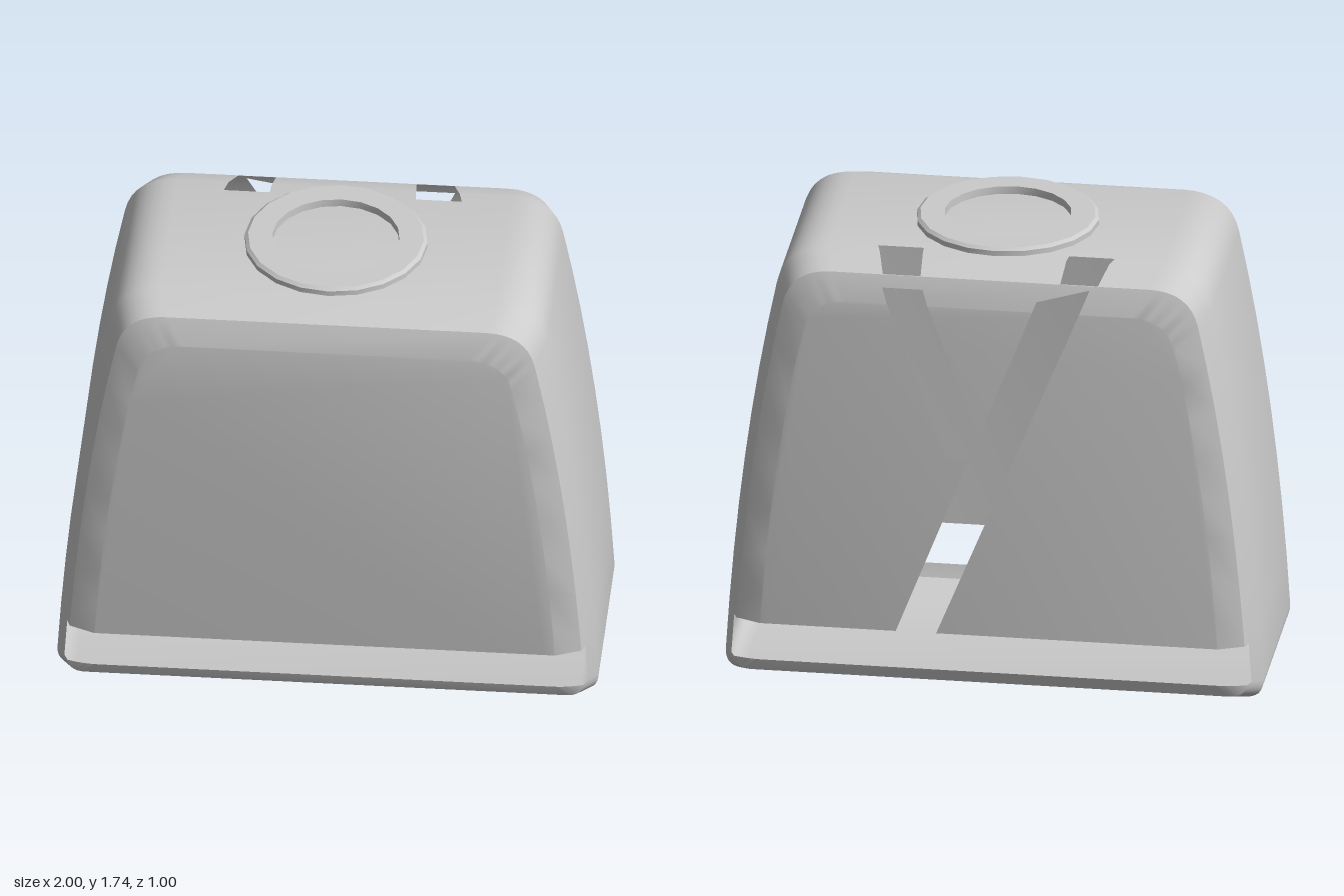
import * as THREE from 'three';
import { toCreasedNormals } from 'three/addons/utils/BufferGeometryUtils.js';

const HEIGHT = 1.71;
const material = new THREE.MeshStandardMaterial({ color: 0xcccccc, side: THREE.DoubleSide });

// Tapered silhouette with rounded shoulders, counter-clockwise from bottom centre
function outline() {
  const half = new THREE.Path();
  half.moveTo(0.93, 0);
  half.quadraticCurveTo(1, 0, 1, 0.07);
  half.quadraticCurveTo(0.951, 0.9, 0.81, 1.56);
  half.quadraticCurveTo(0.778, HEIGHT, 0.62, HEIGHT);
  const right = half.getPoints(8);
  const left = right.map((p) => new THREE.Vector2(-p.x, p.y)).reverse();
  return [...right, ...left];
}

// Hollow skin: one loop per [z, inset], joined by strips and closed by two caps
function shellGeometry() {
  const pts = outline();
  const n = pts.length;
  const rings = [[-0.5, 0.145], [-0.46, 0.045], [-0.35, 0], [0.35, 0], [0.46, 0.045], [0.5, 0.145]];
  const pos = [];
  const index = [];
  for (const [z, inset] of rings)
    for (const p of pts) pos.push(p.x * (1 - inset), inset + p.y * (1 - (2 * inset) / HEIGHT), z);
  for (let r = 0; r < rings.length - 1; r++)
    for (let i = 0; i < n; i++) {
      const a = r * n + i;
      const b = r * n + ((i + 1) % n);
      index.push(a, b, b + n, a, b + n, a + n);
    }
  const last = (rings.length - 1) * n;
  for (const [a, b, c] of THREE.ShapeUtils.triangulateShape(pts, [])) {
    index.push(a, c, b);
    index.push(last + a, last + b, last + c);
  }
  const g = new THREE.BufferGeometry();
  g.setAttribute('position', new THREE.Float32BufferAttribute(pos, 3));
  g.setIndex(index);
  return toCreasedNormals(g, 0.6);
}

// Planes around a convex polygon; toVec places its 2D corners in space
function prism(corners, toVec, ...extra) {
  const centre = new THREE.Vector3();
  const v = corners.map(([a, b]) => toVec(a, b));
  v.forEach((p) => centre.addScaledVector(p, 1 / v.length));
  const axis = toVec(0, 0).equals(new THREE.Vector3()) ? toVec(1, 0).cross(toVec(0, 1)) : null;
  const planes = v.map((p, i) => {
    const normal = v[(i + 1) % v.length].clone().sub(p).cross(axis).normalize();
    const plane = new THREE.Plane().setFromNormalAndCoplanarPoint(normal, p);
    return plane.distanceToPoint(centre) > 0 ? plane.negate() : plane;
  });
  return [...planes, ...extra];
}

// Cut a convex region (behind all its planes) out of a list of polygons
function subtract(polygons, planes) {
  const kept = [];
  for (const polygon of polygons) {
    let inside = polygon;
    const pieces = [];
    for (const plane of planes) {
      const front = [];
      const back = [];
      inside.forEach((a, i) => {
        const b = inside[(i + 1) % inside.length];
        const da = plane.distanceToPoint(a.p);
        const db = plane.distanceToPoint(b.p);
        (da >= 0 ? front : back).push(a);
        if (da >= 0 !== db >= 0) {
          const t = da / (da - db);
          const mid = { p: a.p.clone().lerp(b.p, t), n: a.n.clone().lerp(b.n, t).normalize() };
          front.push(mid);
          back.push(mid);
        }
      });
      if (front.length > 2) pieces.push(front);
      inside = back;
      if (inside.length < 3) break;
    }
    if (inside.length < 3) kept.push(polygon);
    else kept.push(...pieces);
  }
  return kept;
}

function cutGeometry(geometry, cutters) {
  const { position, normal } = geometry.attributes;
  const vertex = (i) => ({
    p: new THREE.Vector3().fromBufferAttribute(position, i),
    n: new THREE.Vector3().fromBufferAttribute(normal, i),
  });
  let polygons = [];
  for (let i = 0; i < position.count; i += 3) polygons.push([vertex(i), vertex(i + 1), vertex(i + 2)]);
  for (const planes of cutters) polygons = subtract(polygons, planes);
  const pos = [];
  const nor = [];
  for (const poly of polygons)
    for (let i = 1; i < poly.length - 1; i++)
      for (const v of [poly[0], poly[i], poly[i + 1]]) {
        pos.push(...v.p.toArray());
        nor.push(...v.n.toArray());
      }
  const g = new THREE.BufferGeometry();
  g.setAttribute('position', new THREE.Float32BufferAttribute(pos, 3));
  g.setAttribute('normal', new THREE.Float32BufferAttribute(nor, 3));
  return g;
}

export function createModel() {
  const group = new THREE.Group();
  const add = (name, geometry) => {
    const mesh = new THREE.Mesh(geometry, material);
    mesh.name = name;
    group.add(mesh);
  };

  const onBack = (x, y) => new THREE.Vector3(x, y, 0);
  const onRoof = (x, z) => new THREE.Vector3(x, 0, z);
  const backOnly = new THREE.Plane(new THREE.Vector3(0, 0, 1), 0.43);
  const roofOnly = new THREE.Plane(new THREE.Vector3(0, -1, 0), 1.4);
  const cutters = [];

  // Long low slots across the front and the back
  for (const s of [-1, 1])
    cutters.push([
      new THREE.Plane(new THREE.Vector3(0, 1, 0), -0.25),
      new THREE.Plane(new THREE.Vector3(0, -1, 0), 0.095),
      new THREE.Plane(new THREE.Vector3(0, 0, -s), 0.43),
    ]);

  // Forked opening in the back: long diagonal and short arm
  cutters.push(prism([[-0.37, 1.65], [-0.175, 1.6], [0.35, 0.24], [0.2, 0.24]], onBack, backOnly));
  cutters.push(prism([[0.25, 1.62], [0.4, 1.62], [0.157, 0.955], [0, 0.955]], onBack, backOnly));

  // Pair of small openings at the rear of the roof
  for (const s of [-1, 1])
    cutters.push(prism([[s * 0.27, -0.3], [s * 0.44, -0.3], [s * 0.4, -0.458], [s * 0.26, -0.458]], onRoof, roofOnly));

  add('bodyShell', cutGeometry(shellGeometry(), cutters));

  // Raised collar on the roof
  const collar = [[0.235, 1.705], [0.235, 1.74], [0.325, 1.74], [0.338, 1.73], [0.338, 1.705]];
  const lathe = new THREE.LatheGeometry(collar.map(([r, y]) => new THREE.Vector2(r, y)), 20);
  add('topCollar', toCreasedNormals(lathe, 0.6));

  return group;
}
